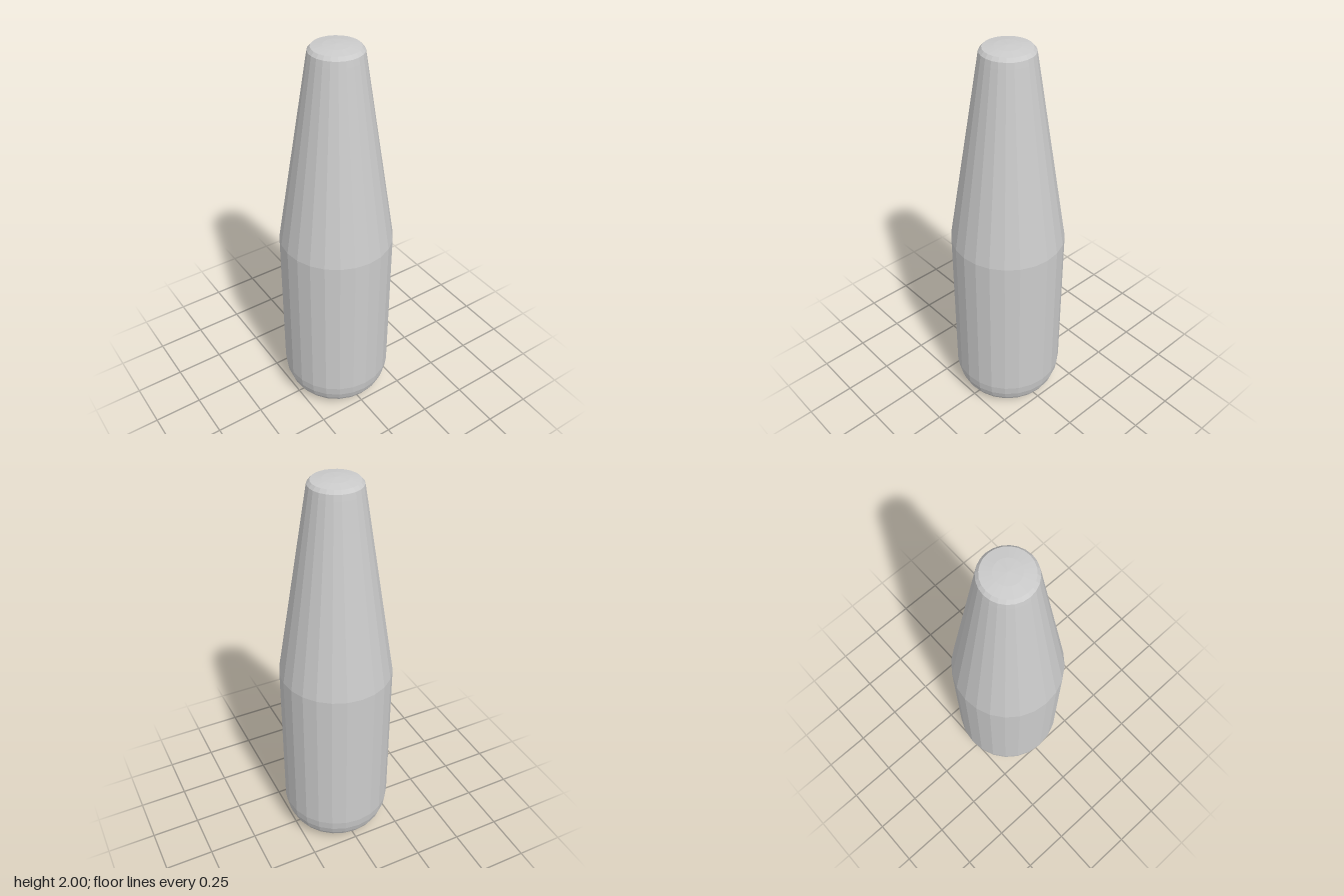
import * as THREE from 'three';

const SIDES = 24;

export function createModel() {
  const group = new THREE.Group();
  const material = new THREE.MeshStandardMaterial({ color: 0xcccccc, flatShading: true });

  // Each part is a faceted ring of the bottle, its profile running upwards as [radius, height]
  const addPart = (name, profile) => {
    const points = profile.map(([r, y]) => new THREE.Vector2(r, y));
    const mesh = new THREE.Mesh(new THREE.LatheGeometry(points, SIDES), material);
    mesh.name = name;
    group.add(mesh);
  };

  // Slightly domed underside with a rounded heel
  addPart('base', [[0, 0], [0.1, 0.01], [0.19, 0.027], [0.247, 0.052], [0.262, 0.078], [0.276, 0.12], [0.283, 0.17]]);
  // Straight cylindrical wall
  addPart('body', [[0.283, 0.17], [0.283, 1.0]]);
  // Long tapering neck
  addPart('neck', [[0.283, 1.0], [0.131, 1.945]]);
  // Rounded lip closing into a shallow cap
  addPart('cap', [[0.131, 1.945], [0.126, 1.974], [0.112, 1.99], [0.06, 1.997], [0, 2]]);

  return group;
}
